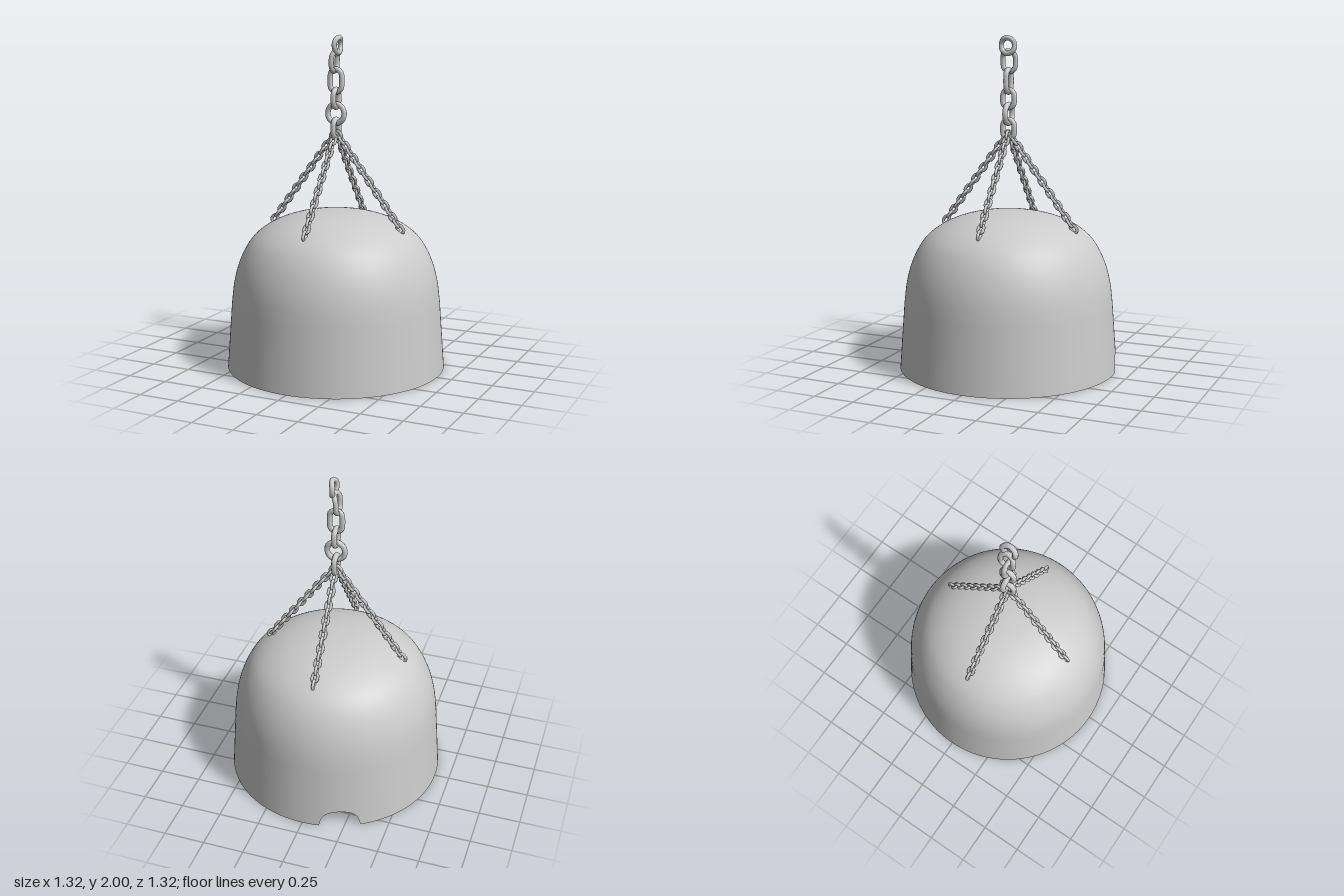
import * as THREE from 'three';

const material = new THREE.MeshStandardMaterial({ color: 0xcccccc });

function addMesh(parent, geometry, name) {
  const mesh = new THREE.Mesh(geometry, material);
  mesh.name = name;
  parent.add(mesh);
  return mesh;
}

// Stadium-shaped link in the xy plane, long side along y; bend shifts the wire sideways (z)
function linkGeometry(width, height, wire, sides = 8, bend = () => 0) {
  const r = width / 2 - wire, straight = Math.max(0, height / 2 - wire - r);
  const points = [];
  for (let half = 0; half < 2; half++) {
    for (let i = 0; i <= 8; i++) {
      if (straight === 0 && i === 8) continue;
      const a = (half + i / 8) * Math.PI;
      const y = Math.sin(a) * r + (half ? -straight : straight);
      points.push(new THREE.Vector3(Math.cos(a) * r, y, bend(y)));
    }
  }
  return new THREE.TubeGeometry(new THREE.CatmullRomCurve3(points, true), 36, wire, sides, true);
}

// Hollow bell-shaped shade with a small arched notch in the back of the rim
function createShade() {
  const shade = new THREE.Group();
  shade.name = 'shade';
  const shoulder = new THREE.CatmullRomCurve3(
    [[0.63, 0.4], [0.615, 0.52], [0.59, 0.62], [0.55, 0.715], [0.495, 0.795],
      [0.41, 0.862], [0.3, 0.912], [0.16, 0.945], [0, 0.956]]
      .map(([x, y]) => new THREE.Vector3(x, y, 0)));
  const outer = [new THREE.Vector2(0.66, 0),
    ...shoulder.getPoints(28).map((p) => new THREE.Vector2(Math.max(p.x, 0), p.y))];
  const inner = outer.map((p) => new THREE.Vector2(p.x * 0.966, p.y * 0.975)).reverse();
  const rim = [inner[inner.length - 1], outer[0]];

  const notchAngle = Math.PI * (200 / 180), notchHalf = Math.PI * (10.5 / 180);
  const lift = (phi) => {
    const t = Math.abs(phi - notchAngle) / notchHalf;
    return t < 1 ? 0.108 * Math.pow(1 - Math.pow(t, 2.4), 1 / 2.4) : 0;
  };
  const parts = { shadeOuterWall: outer, shadeInnerWall: inner, shadeRim: rim };
  for (const [name, profile] of Object.entries(parts)) {
    const geometry = new THREE.LatheGeometry(profile, 360);
    const pos = geometry.attributes.position;
    for (let i = 0; i < pos.count; i++) {
      if (pos.getY(i) > 0.001) continue;
      const x = pos.getX(i), z = pos.getZ(i);
      const phi = (Math.atan2(x, z) + Math.PI * 2) % (Math.PI * 2);
      const y = lift(phi), r = Math.hypot(x, z), k = (r - 0.075 * y) / r;
      pos.setXYZ(i, x * k, y, z * k);
    }
    if (name === 'shadeRim') geometry.computeVertexNormals();
    addMesh(shade, geometry, name);
  }
  return shade;
}

// Heavy vertical chain, its links turned a quarter in alternation
function createMainChain() {
  const chain = new THREE.Group();
  chain.name = 'mainChain';
  const links = [ // centre y, width, height, faces sideways
    [1.73, 0.108, 0.165, false],
    [1.625, 0.108, 0.138, true],
    [1.535, 0.14, 0.145, false],
    [1.445, 0.108, 0.145, true],
  ];
  for (const [y, w, h, sideways] of links) {
    const link = addMesh(chain, linkGeometry(w, h, 0.017), 'mainChainLink');
    link.position.y = y;
    if (sideways) link.rotation.y = Math.PI / 2;
  }
  // Two bent rings at the top
  const hook = addMesh(chain, linkGeometry(0.116, 0.122, 0.016, 8,
    (y) => 0.008 + 6 * Math.max(0, y) ** 2 - 0.12 * Math.min(0, y)), 'topRing');
  hook.position.y = 1.937;
  hook.rotation.y = Math.PI / 2;
  const lower = addMesh(chain, linkGeometry(0.112, 0.152, 0.016, 8,
    (y) => -0.012 + 5 * Math.max(0, y) ** 2), 'bentLink');
  lower.position.y = 1.845;
  lower.rotation.y = Math.PI / 2;
  return chain;
}

// Four fine chains from the main chain down to the shoulder of the shade
function createSlings() {
  const slings = new THREE.Group();
  slings.name = 'slings';
  const geometry = linkGeometry(0.05, 0.068, 0.0095, 6);
  const top = new THREE.Vector3(0.015, 1.41, 0), bottom = new THREE.Vector3(0.418, 0.872, 0);
  const tilt = Math.atan2(bottom.x - top.x, top.y - bottom.y);
  const count = 17;
  for (let k = 0; k < 4; k++) {
    const sling = new THREE.Group();
    sling.name = 'slingChain';
    sling.rotation.y = k * Math.PI / 2;
    for (let i = 0; i < count; i++) {
      const link = addMesh(sling, geometry, 'slingLink');
      link.position.lerpVectors(top, bottom, i / (count - 1));
      link.rotation.set(0, (i % 2) * Math.PI / 2, tilt, 'ZXY');
    }
    slings.add(sling);
  }
  return slings;
}

export function createModel() {
  const model = new THREE.Group();
  model.name = 'hangingBellShade';
  model.add(createShade(), createMainChain(), createSlings());
  return model;
}
